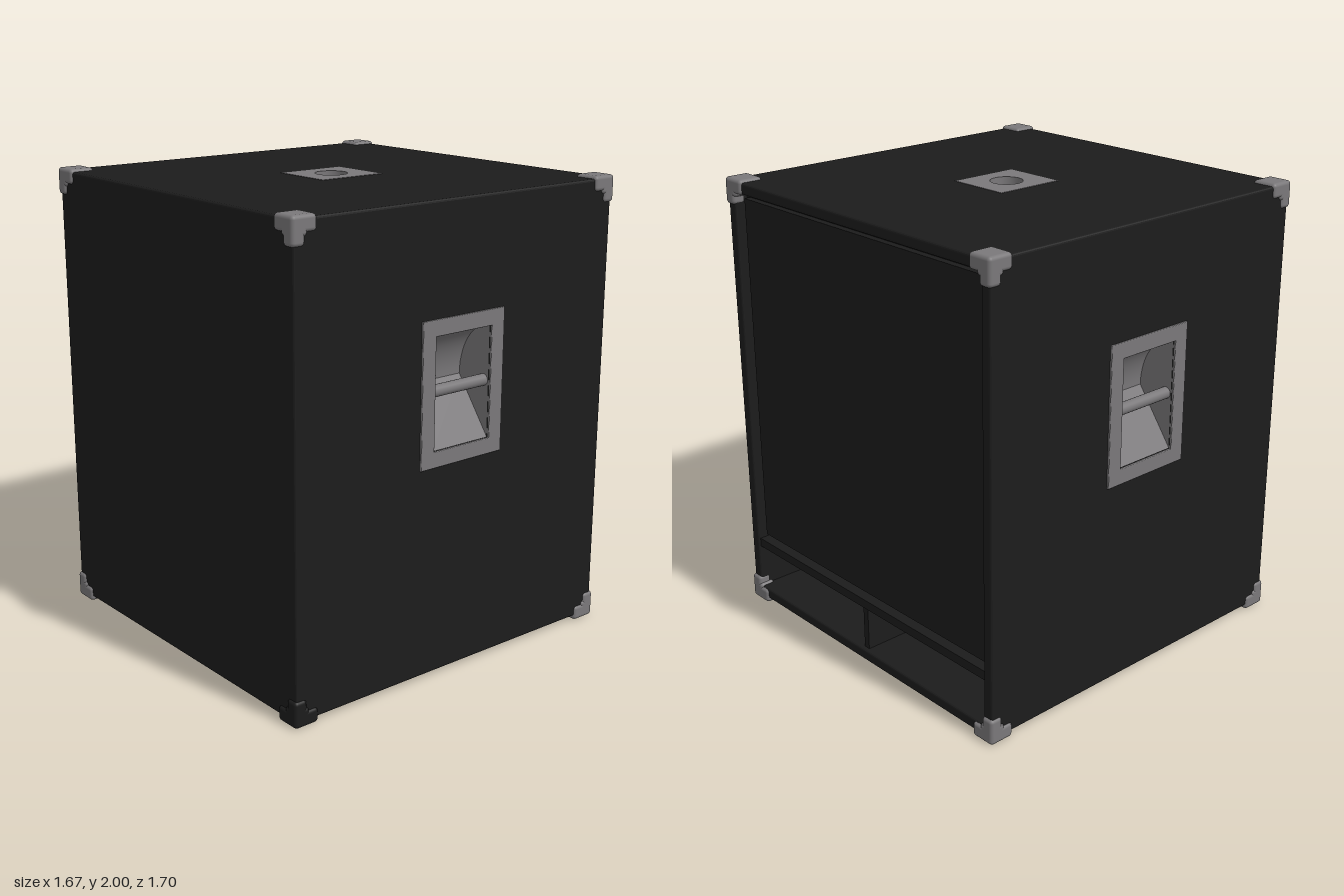
import * as THREE from 'three';
import { RoundedBoxGeometry } from 'three/addons/geometries/RoundedBoxGeometry.js';

const W = 0.825, D = 0.84, Y0 = 0.02, Y1 = 1.988; // cabinet half width, half depth, bottom, top
const T = 0.05;                                   // board thickness
const HANDLE_Y = 1.222;

const black = new THREE.MeshStandardMaterial({ color: 0x1c1c1c });
black.name = 'black paint';
const grey = new THREE.MeshStandardMaterial({ color: 0x7a787a, side: THREE.DoubleSide });
grey.name = 'grey hardware';

function add(parent, name, geometry, material, x = 0, y = 0, z = 0) {
  const mesh = new THREE.Mesh(geometry, material);
  mesh.name = name;
  mesh.position.set(x, y, z);
  parent.add(mesh);
  return mesh;
}

const box = (w, h, d) => new THREE.BoxGeometry(w, h, d);

// Rectangle centred on (0, cy)
function rect(Kind, hw, hh, cy = 0) {
  return new Kind([[-hw, -hh], [hw, -hh], [hw, hh], [-hw, hh]].map(([x, y]) => new THREE.Vector2(x, cy + y)));
}

function circle(r) {
  const p = new THREE.Path();
  p.absarc(0, 0, r, 0, Math.PI * 2);
  return p;
}

// Board with softened edges, from z = 0 to z = t; the bevel grows the outline back to full size
function board(hw, hh, t, bevel, hole) {
  const s = rect(THREE.Shape, hw - bevel, hh - bevel);
  if (hole) s.holes.push(hole);
  const g = new THREE.ExtrudeGeometry(s, {
    depth: t - 2 * bevel, bevelEnabled: bevel > 0, bevelThickness: bevel,
    bevelSize: bevel, bevelSegments: 3, curveSegments: 16,
  });
  return g.translate(0, 0, bevel);
}

// Strip that follows a (depth, height) profile across the given width
function strip(points, width) {
  const g = new THREE.PlaneGeometry(width, 1, 1, points.length - 1);
  const p = g.attributes.position;
  points.forEach(([z, y], i) => {
    for (const k of [2 * i, 2 * i + 1]) p.setXYZ(k, p.getX(k), y, z);
  });
  g.computeVertexNormals();
  return g;
}

// Recessed side handle, local z pointing outward
function makeHandle() {
  const g = new THREE.Group();
  add(g, 'handlePlate', board(0.22, 0.303, 0.011, 0.003, rect(THREE.Path, 0.153, 0.238)), grey);
  const depth = 0.17, upper = [];
  for (let i = 0; i <= 14; i++) {
    const a = (i / 14) * Math.PI / 2;
    upper.push([-depth * Math.sin(a), 0.235 * Math.cos(a)]);
  }
  const lower = [[-depth, 0], [0, -0.235]];
  add(g, 'cupUpperCurve', strip(upper, 0.3), grey);
  add(g, 'cupLowerSlope', strip(lower, 0.3), grey);
  const profile = new THREE.Shape([...upper, ...lower].map(([z, y]) => new THREE.Vector2(-z, y)));
  for (const s of [-1, 1]) {
    add(g, 'cupSideWall', new THREE.ShapeGeometry(profile), grey, s * 0.15).rotation.y = Math.PI / 2;
  }
  add(g, 'gripBar', new THREE.CylinderGeometry(0.025, 0.025, 0.3, 20), grey, 0, 0.003, -0.03)
    .rotation.z = Math.PI / 2;
  return g;
}

// Square pole socket plate, local z pointing outward
function makeSocket() {
  const g = new THREE.Group();
  add(g, 'socketPlate', board(0.145, 0.162, 0.002, 0, circle(0.07)), grey);
  add(g, 'socketWall', new THREE.CylinderGeometry(0.07, 0.07, 0.043, 32, 1, true), grey, 0, 0, -0.0205)
    .rotation.x = Math.PI / 2;
  add(g, 'socketFloor', new THREE.CircleGeometry(0.07, 32), grey, 0, 0, -0.042);
  return g;
}

export function createModel() {
  const model = new THREE.Group();
  model.name = 'speakerCabinet';
  const hh = (Y1 - Y0) / 2, cy = (Y1 + Y0) / 2, b = 0.01;

  // Side boards and handles
  for (const s of [-1, 1]) {
    const hole = rect(THREE.Path, 0.168, 0.253, HANDLE_Y - cy);
    add(model, 'sideBoard', board(D, hh, T, b, hole), black, s * (W - T), cy, 0)
      .rotation.y = s * Math.PI / 2;
    const handle = makeHandle();
    handle.name = 'handle';
    handle.position.set(s * (W - 0.001), HANDLE_Y, 0);
    handle.rotation.y = s * Math.PI / 2;
    model.add(handle);
  }

  // Top and bottom boards with pole sockets
  for (const s of [-1, 1]) {
    const face = s > 0 ? Y1 : Y0;
    add(model, s > 0 ? 'topBoard' : 'bottomBoard', board(W, D, T, b, circle(0.09)), black, 0, face - s * T, 0)
      .rotation.x = -s * Math.PI / 2;
    const socket = makeSocket();
    socket.name = 'poleSocket';
    socket.position.y = face;
    socket.rotation.x = -s * Math.PI / 2;
    model.add(socket);
  }

  // Plain front board
  add(model, 'frontBoard', board(W, hh, T, b), black, 0, cy, D - T);

  // Recessed rear panel with a groove around it
  const inner = 2 * (W - T), top = Y1 - T, shelfTop = 0.31;
  const panelH = top - shelfTop, panelY = (top + shelfTop) / 2;
  add(model, 'rearBacking', box(inner, panelH, 0.03), black, 0, panelY, -0.765);
  add(model, 'rearPanel', box(inner - 0.05, panelH - 0.05, 0.04), black, 0, panelY, -0.79);

  // Twin rear ports
  add(model, 'portShelf', box(inner, 0.04, 0.63), black, 0, shelfTop - 0.02, -0.515);
  add(model, 'portDivider', box(0.03, 0.21, 0.62), black, 0, 0.17, -0.51);
  add(model, 'portBack', box(inner, 0.22, 0.03), black, 0, 0.17, -0.2);

  // Corner protectors: square cap, small step and a narrower upright leg sharing one outer corner
  const steps = [['cornerCap', 0.115, 0.065], ['cornerStep', 0.072, 0.08], ['cornerLeg', 0.06, 0.115]];
  for (const sx of [-1, 1]) for (const sy of [-1, 1]) for (const sz of [-1, 1]) {
    const corner = new THREE.Group();
    corner.name = 'cornerProtector';
    const material = sx > 0 && sy < 0 && sz > 0 ? black : grey;
    for (const [name, w, h] of steps) {
      add(corner, name, new RoundedBoxGeometry(w, h, w, 3, 0.016), material,
        sx * (0.833 - w / 2), sy * (1 - h / 2), sz * (0.85 - w / 2));
    }
    corner.position.y = 1;
    model.add(corner);
  }
  return model;
}
